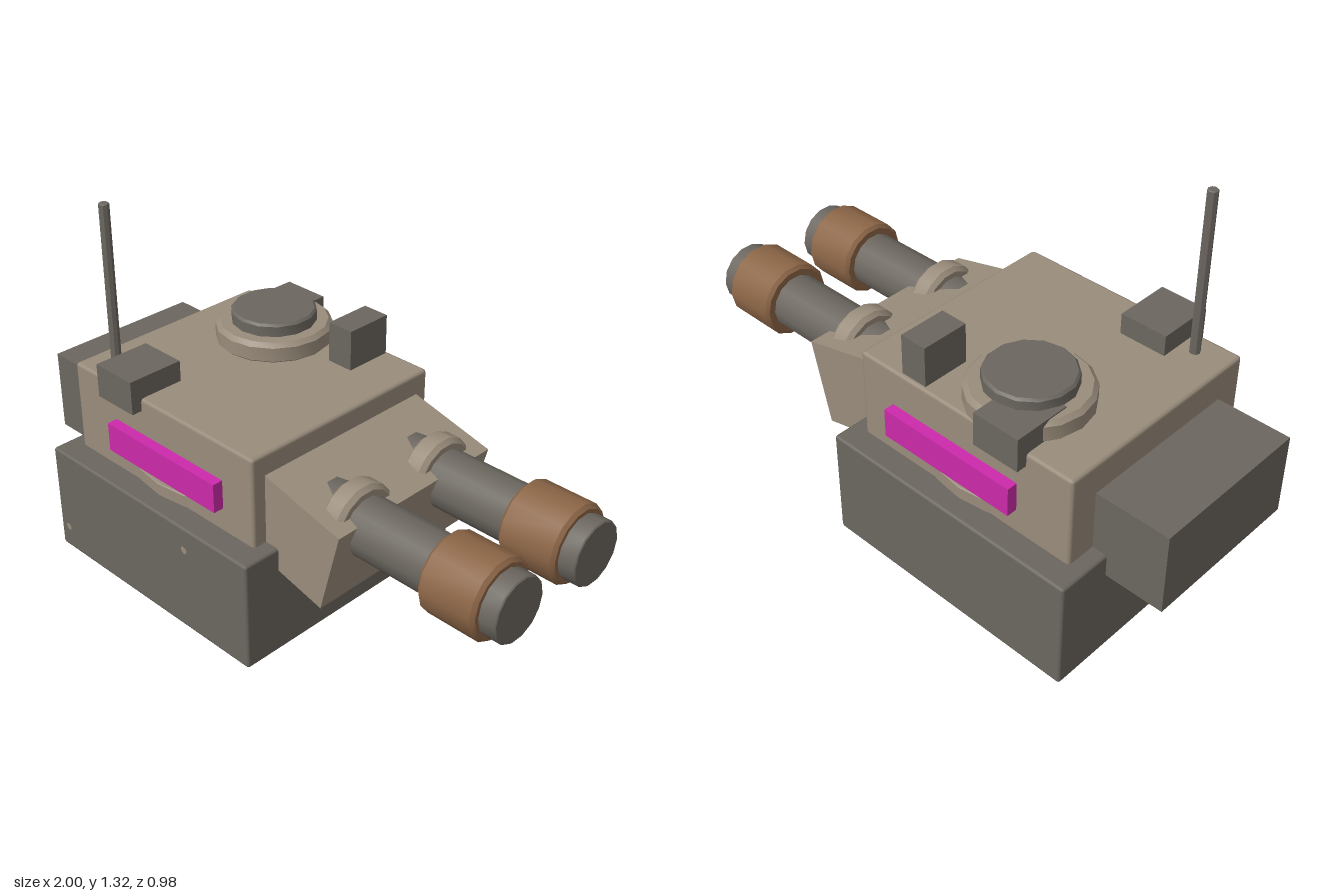
import * as THREE from 'three';
import { toCreasedNormals } from 'three/addons/utils/BufferGeometryUtils.js';
import { RoundedBoxGeometry } from 'three/addons/geometries/RoundedBoxGeometry.js';

export function createModel() {
  const model = new THREE.Group();
  model.name = 'twinGunTurret';
  const material = (name, color) => {
    const m = new THREE.MeshStandardMaterial({ color });
    m.name = name;
    return m;
  };
  const steel = material('dark steel', 0x6b665f);
  const armour = material('tan armour', 0x998c7b);
  const copper = material('copper brown', 0x8b6546);
  const magenta = material('magenta', 0xcc2aaa);

  const add = (name, geometry, mat, parent = model) => {
    const mesh = new THREE.Mesh(geometry, mat);
    mesh.name = name;
    parent.add(mesh);
    return mesh;
  };

  // Box given by its extents, with optional bevel
  const box = (name, mat, x0, x1, y0, y1, z0, z1, bevel = 0) => {
    const size = [x1 - x0, y1 - y0, z1 - z0];
    const geometry = bevel
      ? new RoundedBoxGeometry(...size, 1, bevel)
      : new THREE.BoxGeometry(...size);
    const mesh = add(name, geometry, mat);
    mesh.position.set((x0 + x1) / 2, (y0 + y1) / 2, (z0 + z1) / 2);
    return mesh;
  };

  // Closed disc or tube from y0 to y1 with bevelled rims
  const drum = (name, mat, radius, y0, y1, bevel, sides, parent = model) => {
    const profile = [
      [0, y0], [radius - bevel, y0], [radius, y0 + bevel],
      [radius, y1 - bevel], [radius - bevel, y1], [0, y1],
    ].map(([r, y]) => new THREE.Vector2(r, y));
    const geometry = toCreasedNormals(new THREE.LatheGeometry(profile, sides), 0.6);
    return add(name, geometry, mat, parent);
  };

  // Base, turret ring, turret body and rear stowage box
  box('base', steel, -0.79, 0.195, 0, 0.405, -0.49, 0.49, 0.01);
  drum('turretRing', armour, 0.42, 0.38, 0.45, 0.003, 24).position.set(-0.3, 0, 0);
  box('turretBody', armour, -0.735, 0.14, 0.39, 0.73, -0.402, 0.402, 0.012);
  box('rearBox', steel, -1, -0.72, 0.325, 0.62, -0.295, 0.295);

  // Tilted gun mantlet
  const mantlet = add('mantlet', new THREE.BoxGeometry(0.42, 0.31, 0.7), armour);
  mantlet.position.set(0.214, 0.476, 0);
  mantlet.rotation.z = -0.245;

  // Twin guns, each built along y and laid over to point along +x
  for (const side of [-1, 1]) {
    const gun = new THREE.Group();
    gun.name = side > 0 ? 'frontGun' : 'rearGun';
    gun.position.set(0, 0.525, side * 0.185);
    gun.rotation.z = -Math.PI / 2;
    drum('barrel', steel, 0.1, 0.2, 0.75, 0.002, 14, gun);
    drum('barrelCollar', armour, 0.135, 0.33, 0.415, 0.015, 14, gun);
    drum('muzzleSleeve', copper, 0.136, 0.73, 0.94, 0.012, 14, gun);
    drum('muzzleTip', steel, 0.11, 0.92, 1, 0.004, 14, gun);
    model.add(gun);
  }

  // Commander's cupola and hatch
  drum('cupola', armour, 0.205, 0.72, 0.8, 0.015, 16).position.set(-0.4, 0, -0.21);
  drum('hatch', steel, 0.15, 0.79, 0.845, 0.008, 14).position.set(-0.4, 0, -0.21);

  // Periscope and antenna
  box('periscope', steel, -0.135, -0.035, 0.71, 0.875, -0.388, -0.213);
  drum('antenna', steel, 0.018, 0.72, 1.317, 0.003, 8).position.set(-0.615, 0, 0.318);

  // Side boxes and marker panels, mirrored on both flanks
  for (const side of [-1, 1]) {
    const span = (a, b) => (side > 0 ? [a, b] : [-b, -a]);
    box('sideBox', steel, -0.56, -0.385, 0.685, 0.805, ...span(0.233, 0.44));
    box('sidePanel', magenta, -0.525, 0, 0.49, 0.595, ...span(0.39, 0.44));
  }

  // Small paint chips on the base: position and facing axis
  const chips = [
    [0.196, 0.185, -0.165, 'x'], [0.196, 0.23, -0.39, 'x'],
    [-0.1, 0.32, 0.491, 'z'], [-0.745, 0.09, 0.491, 'z'],
  ];
  for (const [x, y, z, axis] of chips) {
    const chip = add('paintChip', new THREE.CircleGeometry(0.014, 8), armour);
    chip.position.set(x, y, z);
    if (axis === 'x') chip.rotation.y = Math.PI / 2;
  }

  return model;
}
